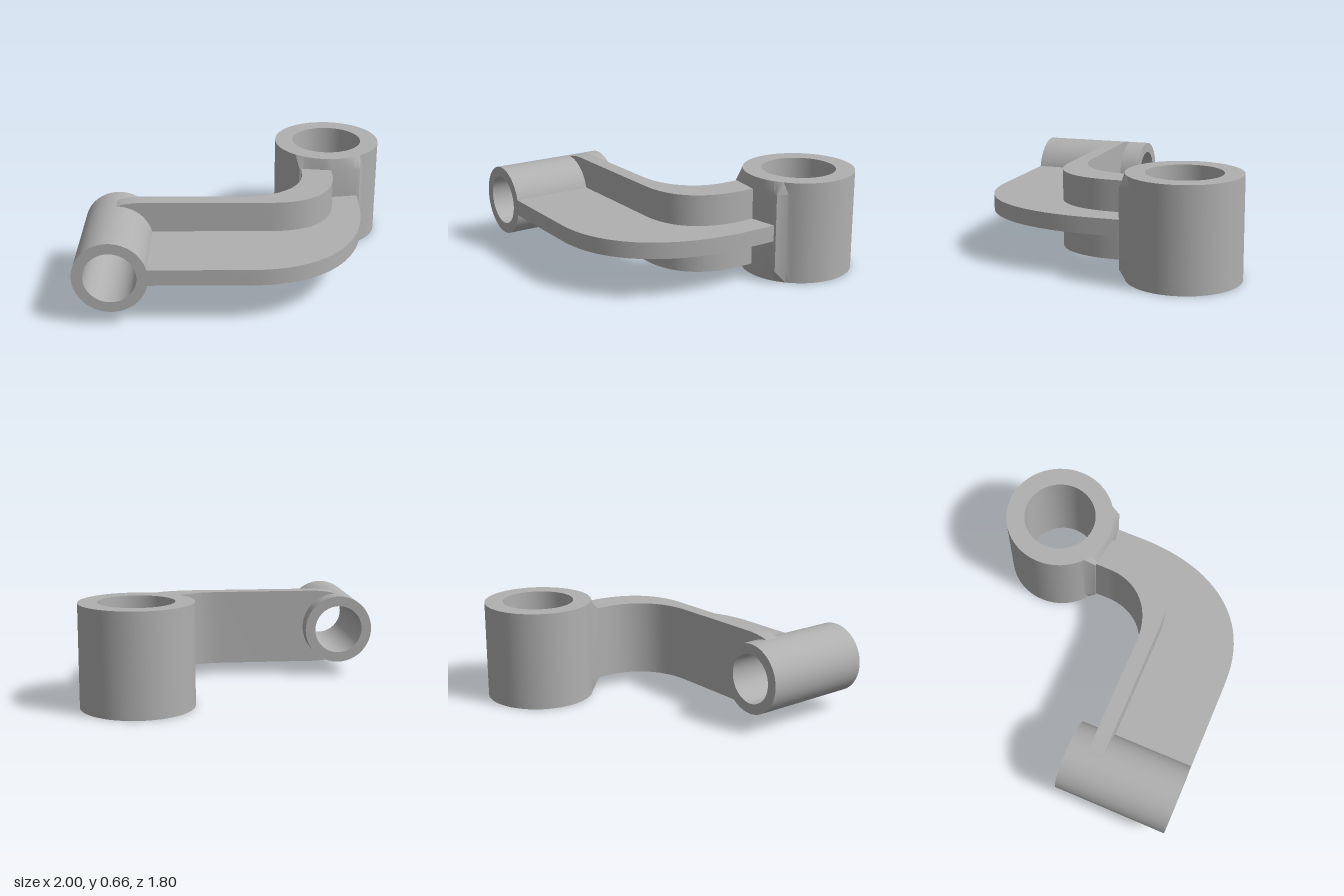
import * as THREE from 'three';
import { toCreasedNormals } from 'three/addons/utils/BufferGeometryUtils.js';

export function createModel() {
  const group = new THREE.Group();
  const grey = new THREE.MeshStandardMaterial({ color: 0xb0b0b0 });
  grey.name = 'castGrey';

  const add = (name, geometry) => {
    const mesh = new THREE.Mesh(toCreasedNormals(geometry, 0.5), grey);
    mesh.name = name;
    group.add(mesh);
    return mesh;
  };

  // Hollow sleeve along +y, with optional extra rings on the outer wall
  const sleeve = (inner, outer, height, rings = []) => new THREE.LatheGeometry(
    [[inner, 0], [outer, 0], ...rings.map((y) => [outer, y]), [outer, height], [inner, height], [inner, 0]]
      .map(([r, y]) => new THREE.Vector2(r, y)), 72);

  // Plan outline (x, -z) raised from y0 to y1
  const slab = (shape, y0, y1) => new THREE.ExtrudeGeometry(shape,
    { depth: y1 - y0, bevelEnabled: false, curveSegments: 24 }).rotateX(-Math.PI / 2).translate(0, y0, 0);

  // Upright sleeve, swelling to a shallow ridge where the arm joins
  const upright = sleeve(0.24, 0.362, 0.66, [0.08, 0.585]);
  const p = upright.attributes.position;
  for (let i = 0; i < p.count; i++) {
    const x = p.getX(i), y = p.getY(i), z = p.getZ(i);
    if (y > 0.05 && y < 0.62 && z > 0 && Math.abs(x) < 0.215) {
      p.setZ(i, Math.max(z, 0.38 - 0.15 * Math.abs(x)));
    }
  }
  add('uprightSleeve', upright).position.set(0.637, 0, -0.54);

  // Level sleeve running front to back
  add('levelSleeve', sleeve(0.163, 0.231, 0.76).rotateX(Math.PI / 2)).position.set(-0.769, 0.33, 0.14);

  // Tall curved web of the arm
  const web = new THREE.Shape();
  web.moveTo(-0.5, -0.37);
  web.lineTo(0.22, -0.37);
  web.bezierCurveTo(0.5, -0.37, 0.645, -0.2, 0.645, 0.08);
  web.lineTo(0.645, 0.25);
  web.lineTo(0.44, 0.25);
  web.lineTo(0.44, 0.1);
  web.bezierCurveTo(0.44, -0.1, 0.3, -0.27, 0.03, -0.27);
  web.lineTo(-0.5, -0.27);
  web.closePath();
  add('armWeb', slab(web, 0.08, 0.585));

  // Web end, easing onto the level sleeve and leaving its bore open
  const end = new THREE.Shape();
  end.moveTo(-0.5, 0.08);
  end.lineTo(-0.5, 0.585);
  end.lineTo(-0.62, 0.585);
  end.quadraticCurveTo(-0.72, 0.58, -0.769, 0.561);
  end.lineTo(-0.769, 0.53);
  end.absarc(-0.769, 0.33, 0.2, Math.PI / 2, -Math.PI / 2, true);
  end.lineTo(-0.769, 0.099);
  end.quadraticCurveTo(-0.72, 0.085, -0.62, 0.08);
  end.closePath();
  add('webEnd', new THREE.ExtrudeGeometry(end, { depth: 0.1, bevelEnabled: false, curveSegments: 24 }))
    .position.z = 0.27;

  // Wide flat flange around the outside of the bend
  const flange = new THREE.Shape();
  flange.moveTo(-0.57, -0.9);
  flange.lineTo(0.08, -0.9);
  flange.bezierCurveTo(0.55, -0.9, 0.825, -0.55, 0.828, 0);
  flange.lineTo(0.828, 0.24);
  flange.lineTo(0.62, 0.24);
  flange.lineTo(0.62, 0.08);
  flange.bezierCurveTo(0.62, -0.2, 0.5, -0.35, 0.22, -0.35);
  flange.lineTo(-0.57, -0.35);
  flange.closePath();
  add('armFlange', slab(flange, 0.28, 0.385));

  return group;
}
